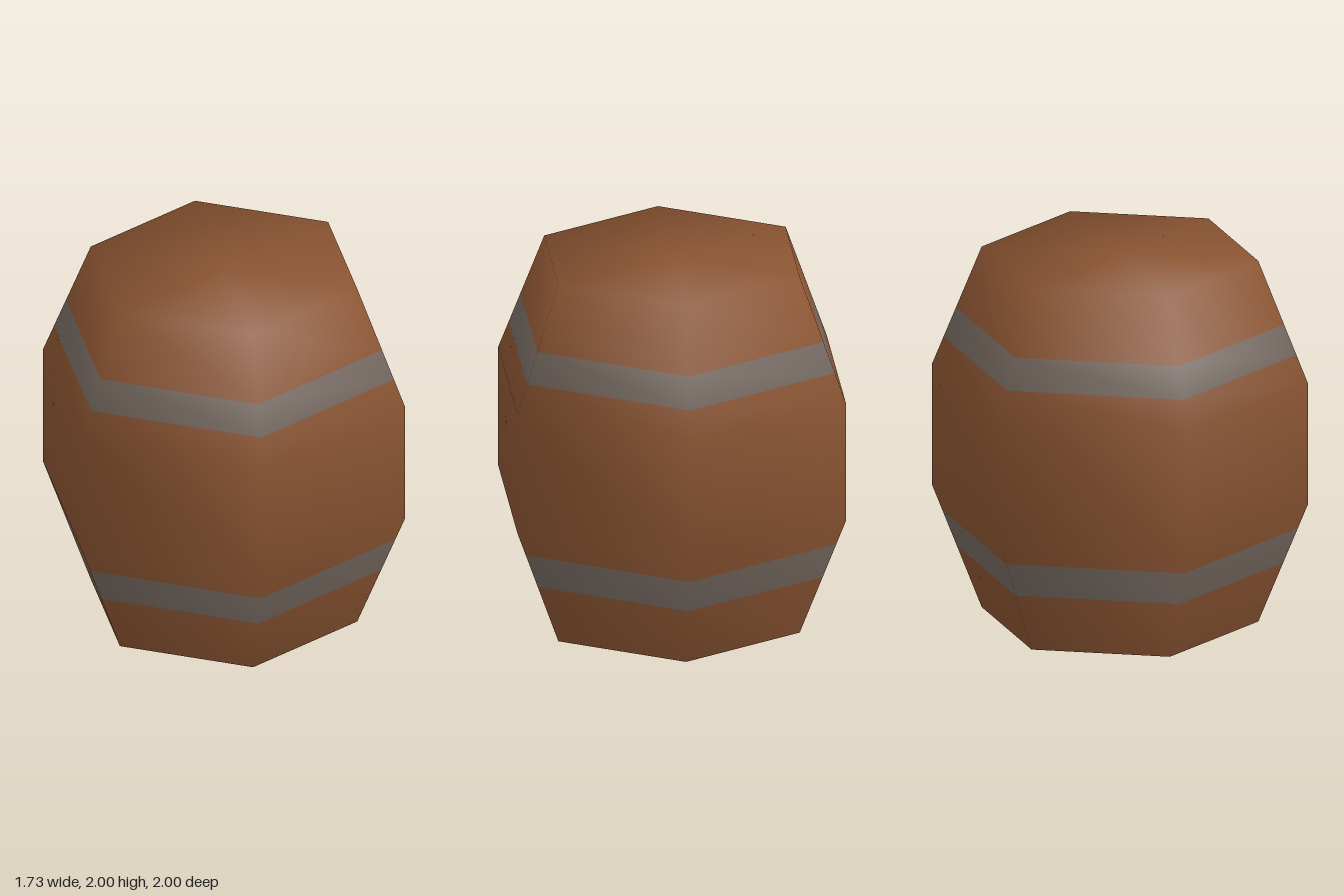
import * as THREE from 'three';

// Barrel profile from bottom rim to top centre: radius, height, and the
// outward / upward parts of the smooth surface normal at that ring.
const RINGS = [
  [0.735, 0, 0.92, -0.38],
  [1, 0.667, 0.98, -0.18],
  [1, 1.333, 0.98, 0.18],
  [0.735, 2, 0.67, 0.74],
];

// Interpolated ring at any height
function ringAt(y) {
  let i = 0;
  while (i < RINGS.length - 2 && y > RINGS[i + 1][1]) i++;
  const a = RINGS[i], b = RINGS[i + 1];
  const t = (y - a[1]) / (b[1] - a[1]);
  return a.map((v, k) => THREE.MathUtils.lerp(v, b[k], t));
}

// Six-sided band of the barrel wall, optionally closed by the top lid
function wall(name, material, y0, y1, lid = false) {
  const inner = RINGS.filter((r) => r[1] > y0 && r[1] < y1);
  const rings = [ringAt(y0), ...inner, ringAt(y1)];
  if (lid) rings.push([0, 2, 0, 0.74]);
  const geo = new THREE.LatheGeometry(rings.map((r) => new THREE.Vector2(r[0], r[1])), 6);
  const normal = geo.attributes.normal;
  for (let i = 0; i < normal.count; i++) {
    const ring = rings[i % rings.length];
    const angle = Math.floor(i / rings.length) * Math.PI / 3;
    normal.setXYZ(i, Math.sin(angle) * ring[2], ring[3], Math.cos(angle) * ring[2]);
  }
  const mesh = new THREE.Mesh(geo, material);
  mesh.name = name;
  return mesh;
}

export function createModel() {
  const wood = new THREE.MeshStandardMaterial({ color: 0x8a5432 });
  wood.name = 'brown wood';
  const iron = new THREE.MeshStandardMaterial({ color: 0x73675f });
  iron.name = 'grey iron';

  const barrel = new THREE.Group();
  barrel.name = 'barrel';

  // Staves and hoops, bottom to top
  barrel.add(
    wall('lowerStaves', wood, 0, 0.335),
    wall('lowerHoop', iron, 0.335, 0.53),
    wall('middleStaves', wood, 0.53, 1.49),
    wall('upperHoop', iron, 1.49, 1.655),
    wall('upperStavesAndLid', wood, 1.655, 2, true),
  );

  // Flat base with a sharp rim
  const base = new THREE.Mesh(
    new THREE.CircleGeometry(0.735, 6, Math.PI / 2).rotateX(Math.PI / 2),
    wood,
  );
  base.name = 'base';
  barrel.add(base);

  return barrel;
}
